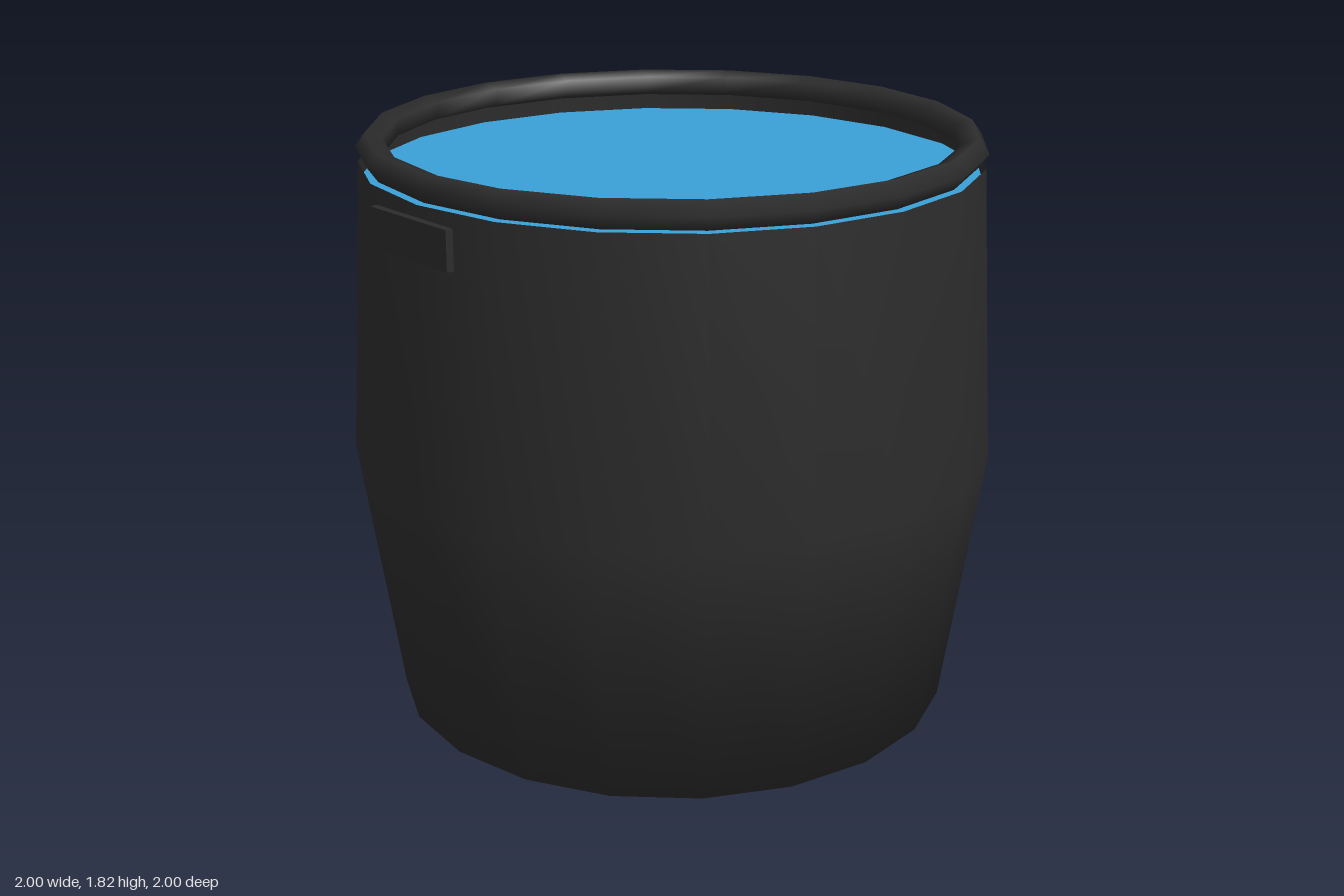
import * as THREE from 'three';

const SIDES = 20;

export function createModel() {
  const model = new THREE.Group();
  const dark = new THREE.MeshStandardMaterial({ color: 0x2c2c2c });
  const darkOpen = new THREE.MeshStandardMaterial({ color: 0x2c2c2c, side: THREE.DoubleSide });
  const blue = new THREE.MeshStandardMaterial({ color: 0x3aa0d8, side: THREE.DoubleSide });

  const add = (name, geometry, material, x = 0, y = 0, z = 0) => {
    const mesh = new THREE.Mesh(geometry, material);
    mesh.name = name;
    mesh.position.set(x, y, z);
    model.add(mesh);
  };

  // Bulging tub with a closed base and open top
  const profile = [[0, 0], [0.875, 0], [1, 0.825], [0.952, 1.731]]
    .map(([r, y]) => new THREE.Vector2(r, y));
  add('tub', new THREE.LatheGeometry(profile, SIDES), darkOpen);

  // Flat surface set a little below the mouth of the tub
  add('liquidSurface', new THREE.CircleGeometry(0.95, SIDES).rotateX(-Math.PI / 2), blue, 0, 1.68, 0);

  // Five-sided ring just above the tub
  add('rim', new THREE.TorusGeometry(0.914, 0.045, 5, SIDES).rotateX(Math.PI / 2), dark, 0, 1.776, 0);

  // Small plates at the front and back
  for (const [name, side] of [['frontHandle', 1], ['backHandle', -1]]) {
    add(name, new THREE.BoxGeometry(0.36, 0.12, 0.024), dark, 0, 1.64, side * 0.975);
  }

  return model;
}
